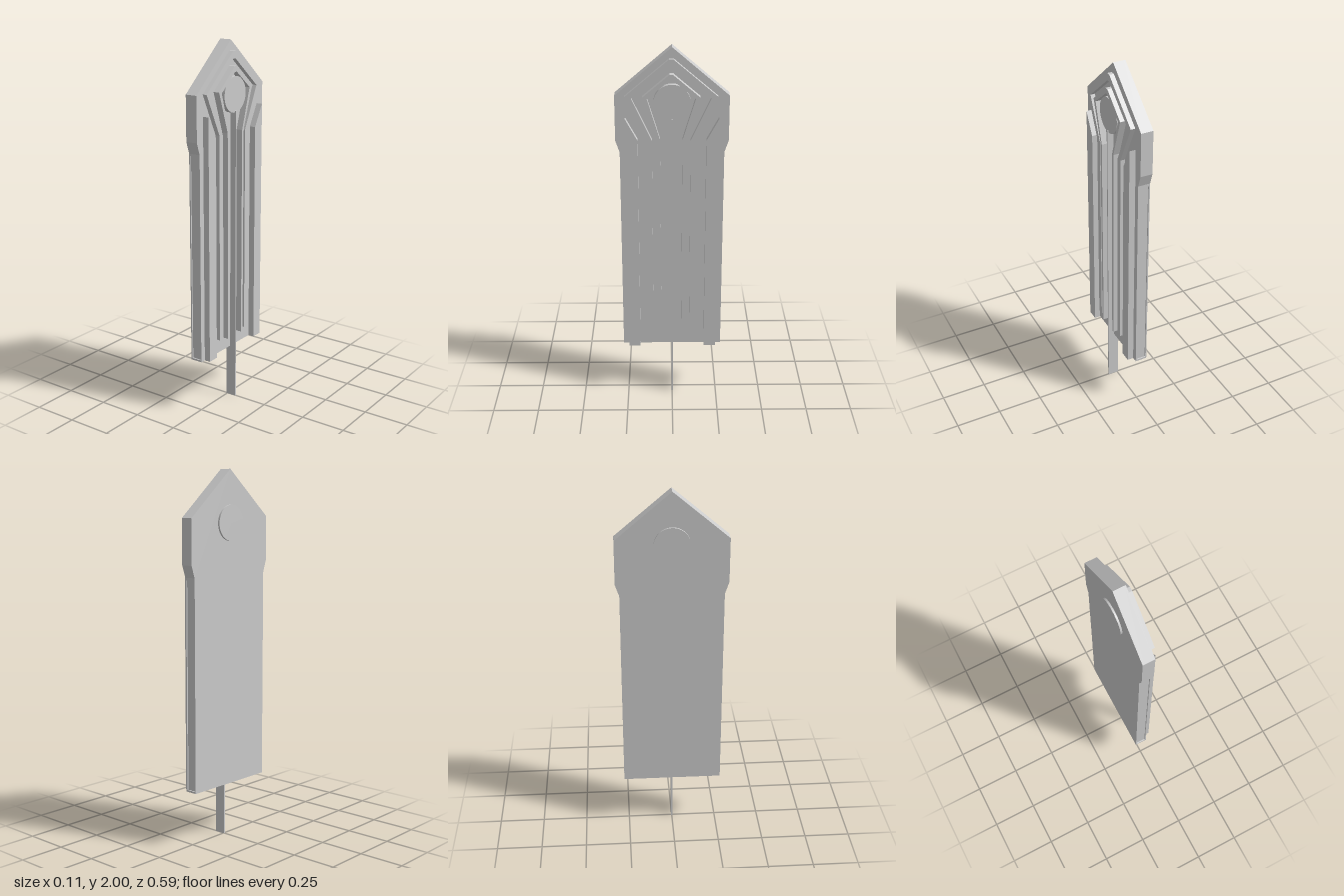
import * as THREE from 'three';

const material = new THREE.MeshStandardMaterial({ color: 0xcccccc, flatShading: true });
const smooth = new THREE.MeshStandardMaterial({ color: 0xcccccc });

// Extrude an outline of [z, y] points from x0 to x1.
function slab(name, points, x0, x1) {
  const shape = new THREE.Shape(points.map(([z, y]) => new THREE.Vector2(-z, y)));
  const geo = new THREE.ExtrudeGeometry(shape, { depth: x1 - x0, bevelEnabled: false });
  geo.rotateY(Math.PI / 2).translate(x0, 0, 0);
  const mesh = new THREE.Mesh(geo, material);
  mesh.name = name;
  return mesh;
}

// Complete a half outline with its mirror image across z = 0.
const mirrored = (half) => [
  ...half,
  ...half.filter(([z]) => z !== 0).reverse().map(([z, y]) => [-z, y]),
];

// Symmetrical bent rib: outer edge followed by the inner edge on the way back.
function rib(name, outer, inner, x1) {
  const flip = (pts) => pts.map(([z, y]) => [-z, y]);
  const points = [
    ...[...outer].reverse(), ...flip(outer),
    ...flip([...inner].reverse()), ...inner,
  ];
  return slab(name, points.map(([z, y]) => [z + 0.004, y]), 0.019, x1);
}

export function createModel() {
  const model = new THREE.Group();

  // Body: two face plates around a core with grooved side edges
  const outline = mirrored([[0, 2], [0.295, 1.75], [0.295, 1.51], [0.273, 1.445], [0.273, 0.3]]);
  const grooved = mirrored([
    [0, 2], [0.295, 1.75], [0.295, 1.51], [0.273, 1.445], [0.273, 1.43],
    [0.266, 1.43], [0.266, 0.31], [0.273, 0.31], [0.273, 0.3],
  ]);
  model.add(
    slab('backPlate', outline, -0.047, -0.04),
    slab('core', grooved, -0.04, 0.013),
    slab('facePlate', outline, 0.013, 0.02),
  );

  // Ribs that follow the pointed top and run down the face
  model.add(
    rib('outerRib',
      [[0.012, 1.943], [0.24, 1.75], [0.132, 1.525], [0.132, 0.385]],
      [[0.01, 1.905], [0.205, 1.743], [0.1, 1.518], [0.1, 0.385]], 0.045),
    rib('innerRib',
      [[0.01, 1.867], [0.148, 1.75], [0.073, 1.53], [0.07, 0.375]],
      [[0.008, 1.838], [0.125, 1.743], [0.058, 1.525], [0.055, 0.375]], 0.055),
  );

  // Side rails with slanted upper ends
  for (const s of [1, -1]) {
    model.add(slab('sideRail',
      [[0.242, 0.3], [0.242, 1.637], [0.178, 1.52], [0.178, 0.3]].map(([z, y]) => [s * z, y]),
      0.019, 0.054));
  }

  // Round boss passing through the body
  const boss = new THREE.Mesh(new THREE.CylinderGeometry(0.095, 0.095, 0.105, 48), smooth);
  boss.name = 'roundBoss';
  boss.rotation.z = Math.PI / 2;
  boss.position.set(-0.0045, 1.72, 0);
  model.add(boss);

  // Thin central blade hanging below the body
  const blade = new THREE.Mesh(new THREE.BoxGeometry(0.06, 1.635, 0.008), material);
  blade.name = 'centralBlade';
  blade.position.set(0.025, 0.8175, 0);
  model.add(blade);

  return model;
}
